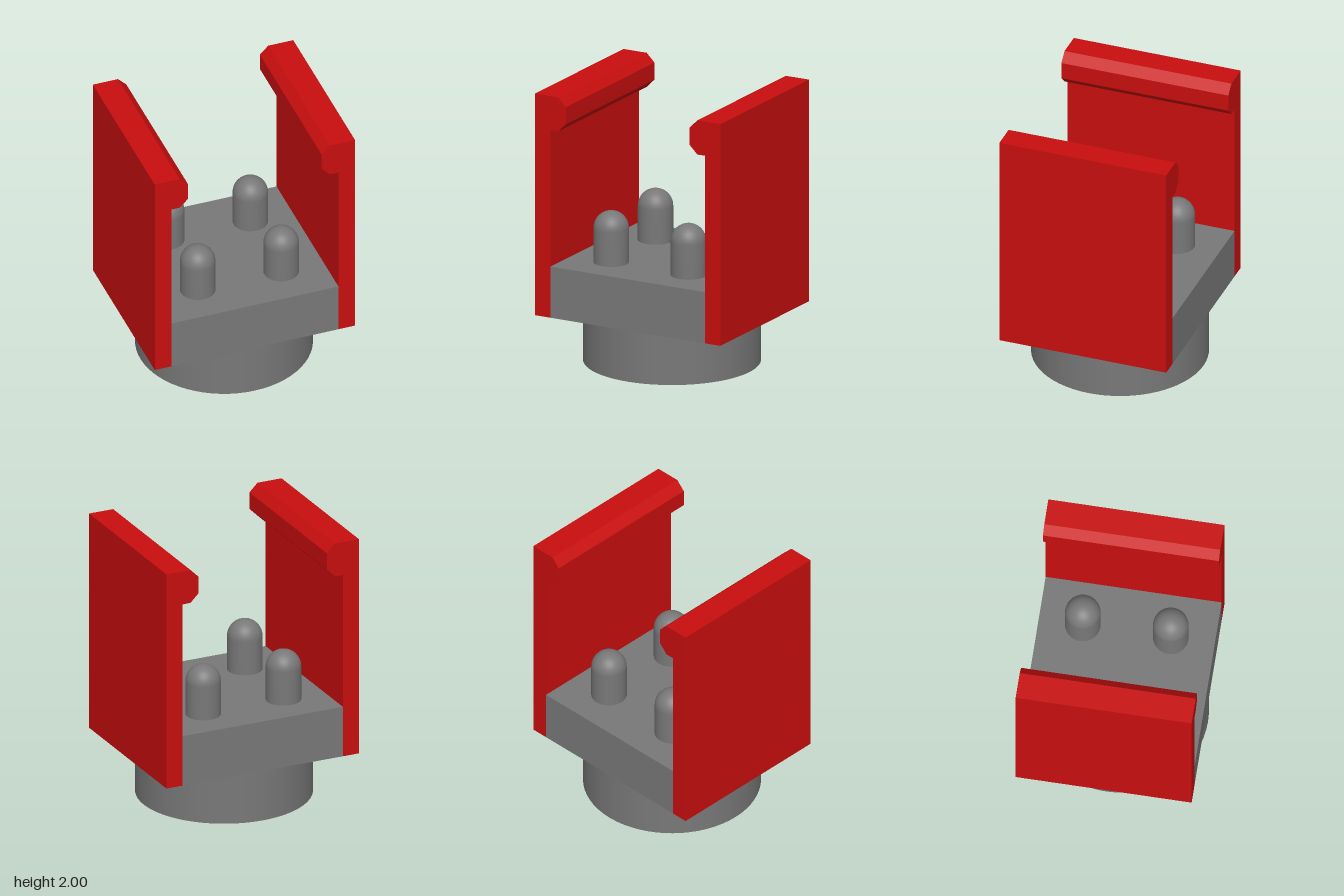
import * as THREE from 'three';

const red = new THREE.MeshStandardMaterial({ color: 0xc80e0e });
red.name = 'red';
const grey = new THREE.MeshStandardMaterial({ color: 0x787878 });
grey.name = 'grey';

const DEPTH = 1.25;

function addMesh(parent, name, geometry, material, x = 0, y = 0, z = 0) {
  const mesh = new THREE.Mesh(geometry, material);
  mesh.name = name;
  mesh.position.set(x, y, z);
  parent.add(mesh);
  return mesh;
}

// Side wall with a chamfered hook along its top inner edge, extruded along z
function clipGeometry(side) {
  const profile = [
    [0.625, 0.375], [0.75, 0.375], [0.75, 2], [0.5625, 2],
    [0.5, 1.9375], [0.5, 1.8125], [0.5625, 1.75], [0.625, 1.75],
  ].map(([x, y]) => new THREE.Vector2(side * x, y));
  const geometry = new THREE.ExtrudeGeometry(new THREE.Shape(profile), { depth: DEPTH, bevelEnabled: false });
  return geometry.translate(0, 0, -DEPTH / 2);
}

// Round-topped pin, standing on its own origin
function pinGeometry(radius, shaft) {
  const points = [new THREE.Vector2(radius, 0)];
  const steps = 10;
  for (let i = 0; i <= steps; i++) {
    const a = (i / steps) * Math.PI / 2;
    points.push(new THREE.Vector2(i === steps ? 0 : radius * Math.cos(a), shaft + radius * Math.sin(a)));
  }
  return new THREE.LatheGeometry(points, 40);
}

export function createModel() {
  const model = new THREE.Group();
  model.name = 'clipBracket';

  // Round foot and square base block
  addMesh(model, 'foot', new THREE.CylinderGeometry(0.625, 0.625, 0.375, 64), grey, 0, 0.1875, 0);
  addMesh(model, 'baseBlock', new THREE.BoxGeometry(1.25, 0.375, DEPTH), grey, 0, 0.5625, 0);

  // Four pins on the block
  const pin = pinGeometry(0.125, 0.25);
  for (const x of [-0.3125, 0.3125]) {
    for (const z of [-0.3125, 0.3125]) addMesh(model, 'pin', pin, grey, x, 0.75, z);
  }

  // Mirrored hooked walls
  addMesh(model, 'leftClip', clipGeometry(1), red);
  addMesh(model, 'rightClip', clipGeometry(-1), red);

  return model;
}
